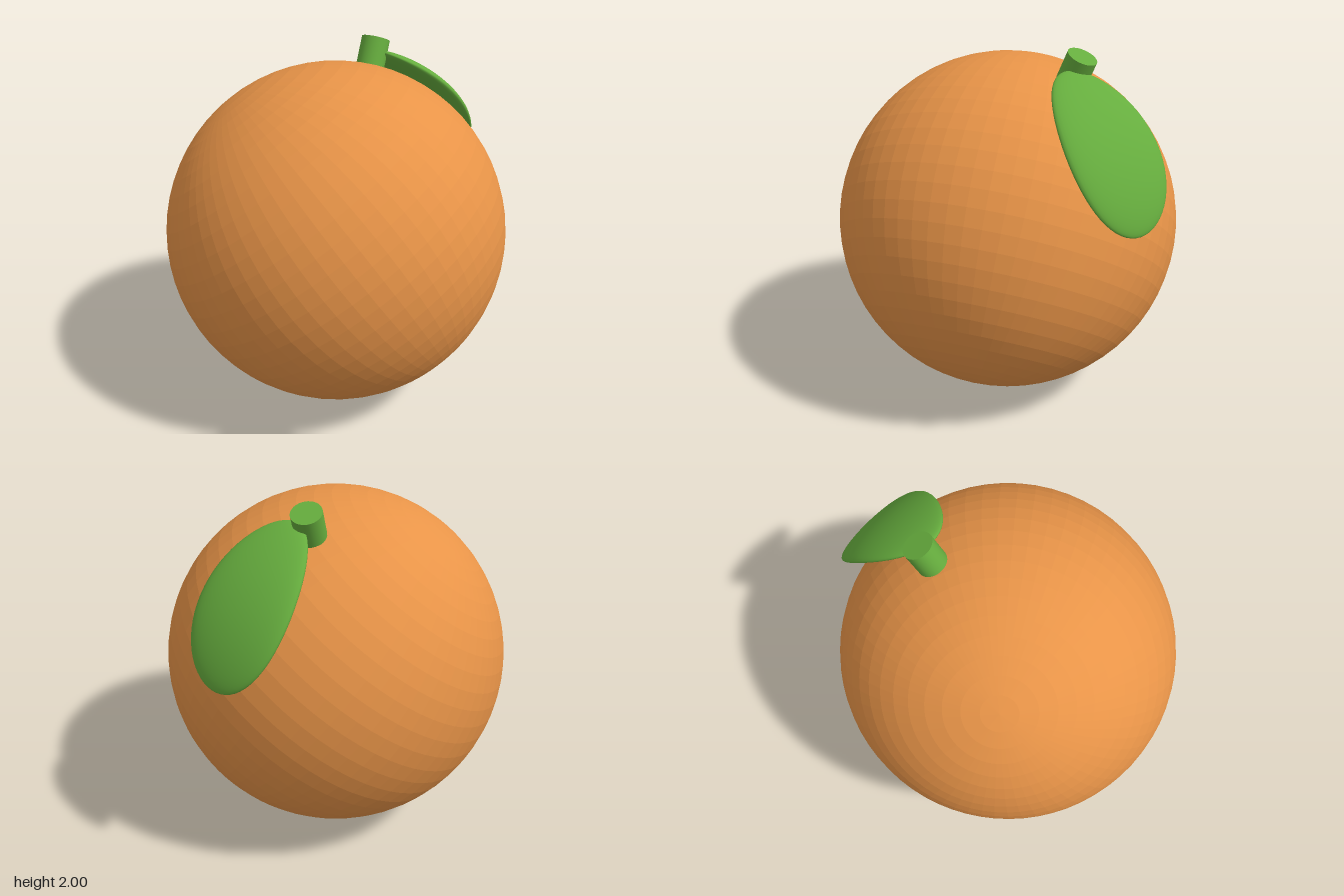
import * as THREE from 'three';

const mat = (color, extra = {}) => new THREE.MeshStandardMaterial({ color, ...extra });

// Egg-shaped blade, drooping at both ends, laid out along y with its top facing +z
function bladeGeometry(halfLength, halfWidth, halfThickness, droop) {
  const g = new THREE.SphereGeometry(1, 40, 32);
  const p = g.attributes.position;
  const normals = g.attributes.normal;
  const n = new THREE.Vector3();
  for (let i = 0; i < p.count; i++) {
    const x = p.getX(i), t = p.getY(i), z = p.getZ(i);
    const w = halfWidth * (1 + 0.1 * t);
    p.setXYZ(i, x * w, t * halfLength, z * halfThickness - droop * t * t);
    // Normal of the bent ellipsoid
    const nz = z / halfThickness;
    n.set(x / w, t / halfLength + nz * 2 * droop * t / halfLength, nz).normalize();
    normals.setXYZ(i, n.x, n.y, n.z);
  }
  return g;
}

export function createModel() {
  const group = new THREE.Group();
  const green = mat(0x66ad3e);
  const center = new THREE.Vector3(0, 0.955, 0.04);

  // Faceted round fruit, its poles tilted to the side
  const fruit = new THREE.Mesh(new THREE.SphereGeometry(0.957, 64, 32), mat(0xe89448, { flatShading: true }));
  fruit.name = 'fruit';
  fruit.position.copy(center);
  fruit.quaternion.setFromUnitVectors(new THREE.Vector3(0, 1, 0), new THREE.Vector3(-0.59, 0.79, 0.18).normalize());
  group.add(fruit);

  // Short stem standing out of the skin towards the back
  const up = new THREE.Vector3(0, 0.91, -0.42).normalize();
  const stem = new THREE.Mesh(new THREE.CylinderGeometry(0.08, 0.08, 0.2, 32), green);
  stem.name = 'stem';
  stem.position.copy(center).addScaledVector(up, 1.008);
  stem.quaternion.setFromUnitVectors(new THREE.Vector3(0, 1, 0), up);
  group.add(stem);

  // Leaf hanging from the stem down the back
  const along = new THREE.Vector3(0.22, -0.75, -0.62).normalize();
  const across = new THREE.Vector3(0.94, 0, 0.33).normalize();
  const out = new THREE.Vector3().crossVectors(across, along).normalize();
  across.crossVectors(along, out);
  const leaf = new THREE.Mesh(bladeGeometry(0.455, 0.275, 0.055, 0.075), green);
  leaf.name = 'leaf';
  leaf.quaternion.setFromRotationMatrix(new THREE.Matrix4().makeBasis(across, along, out));
  leaf.position.set(0.2, 1.605, -0.72);
  group.add(leaf);

  return group;
}
